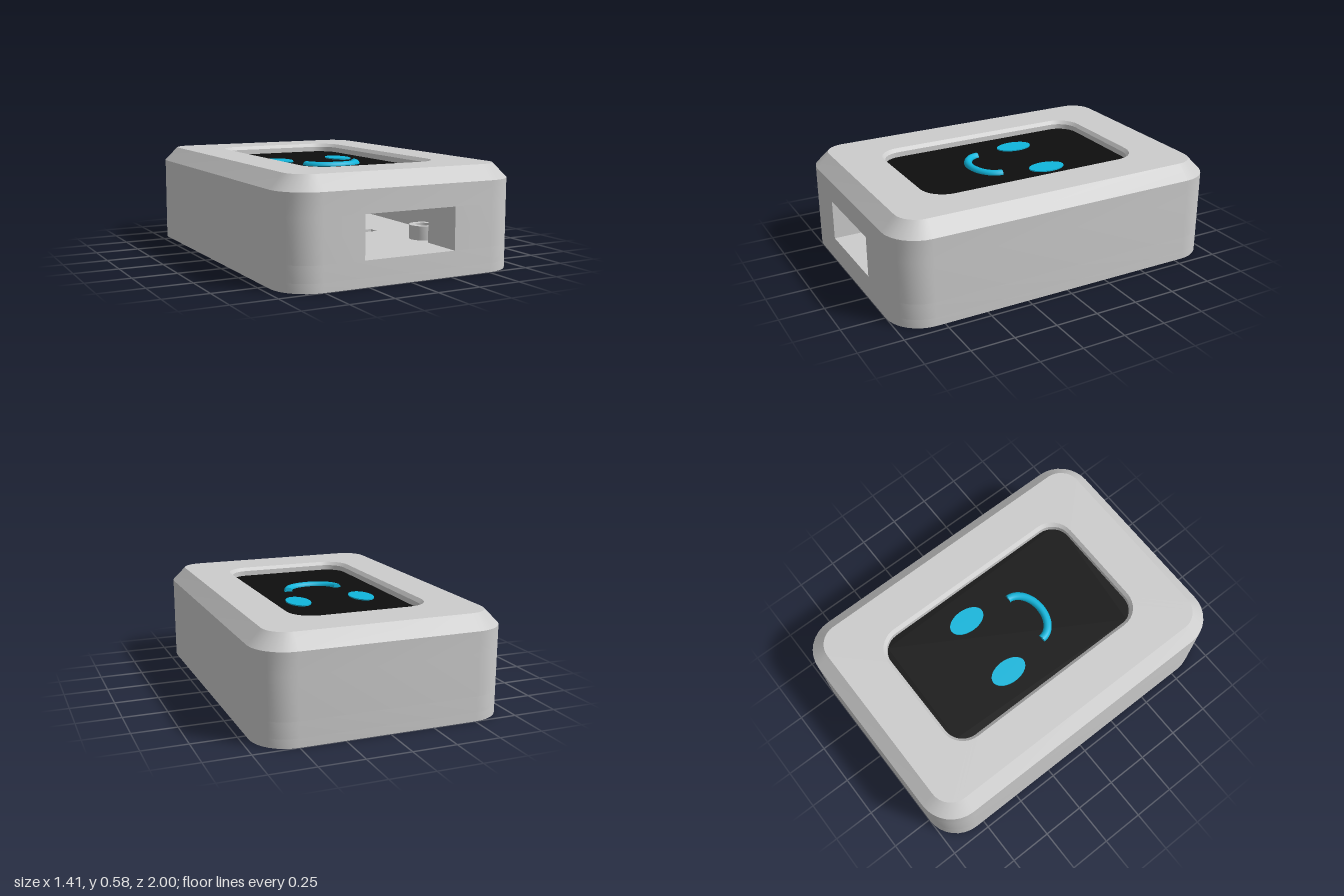
import * as THREE from 'three';
import { toCreasedNormals } from 'three/addons/utils/BufferGeometryUtils.js';

const mat = (name, color) => {
  const m = new THREE.MeshStandardMaterial({ color });
  m.name = name;
  return m;
};

// Rounded rectangle in (x, z), running from the front around the +x side and the back
function roundedRect(hx, hz, r, steps = 8) {
  const pts = [];
  [[1, 1], [1, -1], [-1, -1], [-1, 1]].forEach(([sx, sz], corner) => {
    for (let i = 0; i <= steps; i++) {
      const a = Math.PI / 2 * (1 - corner - i / steps);
      pts.push(new THREE.Vector2(sx * (hx - r) + r * Math.cos(a), sz * (hz - r) + r * Math.sin(a)));
    }
  });
  return pts;
}

// Skin through rounded-rectangle rings [halfX, halfZ, radius, y]
function loft(rings) {
  const pos = [], index = [];
  let n = 0;
  for (const [hx, hz, r, y] of rings) {
    const pts = roundedRect(hx, hz, r);
    n = pts.length;
    pts.forEach(p => pos.push(p.x, y, p.y));
  }
  for (let k = 0; k < rings.length - 1; k++) {
    for (let j = 0; j < n; j++) {
      const a = k * n + j, b = k * n + (j + 1) % n;
      index.push(a, b, b + n, a, b + n, a + n);
    }
  }
  const g = new THREE.BufferGeometry();
  g.setAttribute('position', new THREE.Float32BufferAttribute(pos, 3));
  g.setIndex(index);
  return toCreasedNormals(g.toNonIndexed(), 0.5);
}

// Slab cut from an outline in (x, z), between two heights
function slab(outline, y0, y1, holes = []) {
  const shape = new THREE.Shape(outline);
  holes.forEach(h => shape.holes.push(new THREE.Path(h)));
  const g = new THREE.ExtrudeGeometry(shape, { depth: y1 - y0, bevelEnabled: false });
  g.rotateX(Math.PI / 2).translate(0, y1, 0);
  return toCreasedNormals(g, 0.5);
}

const circle = (x, z, r, n = 28) => Array.from({ length: n }, (_, i) => {
  const a = i / n * Math.PI * 2;
  return new THREE.Vector2(x + r * Math.cos(a), z + r * Math.sin(a));
});

const slot = (x, z, w, d) => [[-1, -1], [1, -1], [1, 1], [-1, 1]]
  .map(([sx, sz]) => new THREE.Vector2(x + sx * w / 2, z + sz * d / 2));

export function createModel() {
  const group = new THREE.Group();
  const grey = mat('caseGrey', 0xcccccc);
  const black = mat('screenBlack', 0x0e0e0e);
  const cyan = mat('faceCyan', 0x10b6dc);
  const add = (name, geometry, material) => {
    const mesh = new THREE.Mesh(geometry, material);
    mesh.name = name;
    group.add(mesh);
    return mesh;
  };

  const HX = 0.705, HZ = 1, R = 0.2;
  const FLOOR = 0.14, LINTEL = 0.375, CEILING = 0.46;
  const outer = roundedRect(HX, HZ, R);

  // Upper case: wall, chamfer, flat bezel, bevelled screen opening, hollow inside
  add('upperCase', loft([
    [HX, HZ, R, LINTEL], [HX, HZ, R, 0.5], [0.628, 0.923, 0.125, 0.58],
    [0.4, 0.672, 0.14, 0.58], [0.38, 0.655, 0.12, 0.56], [0.38, 0.655, 0.12, CEILING],
    [0.5, 0.75, 0.1, CEILING], [0.5, 0.75, 0.1, LINTEL],
  ]), grey);

  // Side walls, left open at the front for the port
  const v = (x, z) => new THREE.Vector2(x, z);
  add('sideWalls', slab([
    v(0.272, HZ), ...outer, v(-0.272, HZ), v(-0.272, 0.75),
    ...roundedRect(0.5, 0.75, 0.1).reverse(), v(0.272, 0.75),
  ], FLOOR, LINTEL), grey);
  add('portLintel', slab(slot(0, 0.875, 0.6, 0.24), LINTEL, LINTEL + 0.05), grey);

  // Floor with vents, clip slots and counterbored screw holes
  const screws = [[0.26, -0.63], [-0.26, -0.63], [0.325, 0.62], [-0.325, 0.62]];
  const slots = [-0.43, -0.2, 0.035, 0.27].map(z => slot(0, z, 0.42, 0.07));
  for (const x of [-0.57, 0.57]) for (const z of [-0.32, 0.32]) slots.push(slot(x, z, 0.03, 0.2));
  add('floorLower', slab(outer, 0, 0.05,
    [...slots, ...screws.map(([x, z]) => circle(x, z, 0.083))]), grey);
  add('floorUpper', slab(outer, 0.05, FLOOR,
    [...slots, ...screws.map(([x, z]) => circle(x, z, 0.045))]), grey);

  // Screw posts inside the case
  for (const [x, z] of screws) {
    add('screwPost', slab(circle(x, z, 0.08), FLOOR, 0.22, [circle(x, z, 0.045)]), grey);
  }

  // Screen
  const SCREEN = 0.53;
  add('screen', slab(roundedRect(0.379, 0.654, 0.12), CEILING, SCREEN), black);

  // Eyes
  for (const x of [-0.197, 0.197]) {
    const eye = new THREE.CylinderGeometry(1, 1, 0.008, 36);
    add('eye', eye.scale(0.068, 1, 0.11), cyan).position.set(x, SCREEN + 0.003, -0.16);
  }

  // Smile: rounded half-ellipse bar with capped ends
  const arc = Array.from({ length: 25 }, (_, i) => {
    const a = i / 24 * Math.PI;
    return new THREE.Vector3(0.158 * Math.cos(a), SCREEN, 0.115 + 0.115 * Math.sin(a));
  });
  add('smile', new THREE.TubeGeometry(new THREE.CatmullRomCurve3(arc), 40, 0.024, 12), cyan);
  for (const x of [-0.158, 0.158]) {
    const cap = new THREE.CircleGeometry(0.024, 12).rotateY(Math.PI);
    add('smileEnd', cap, cyan).position.set(x, SCREEN, 0.115);
  }
  return group;
}
